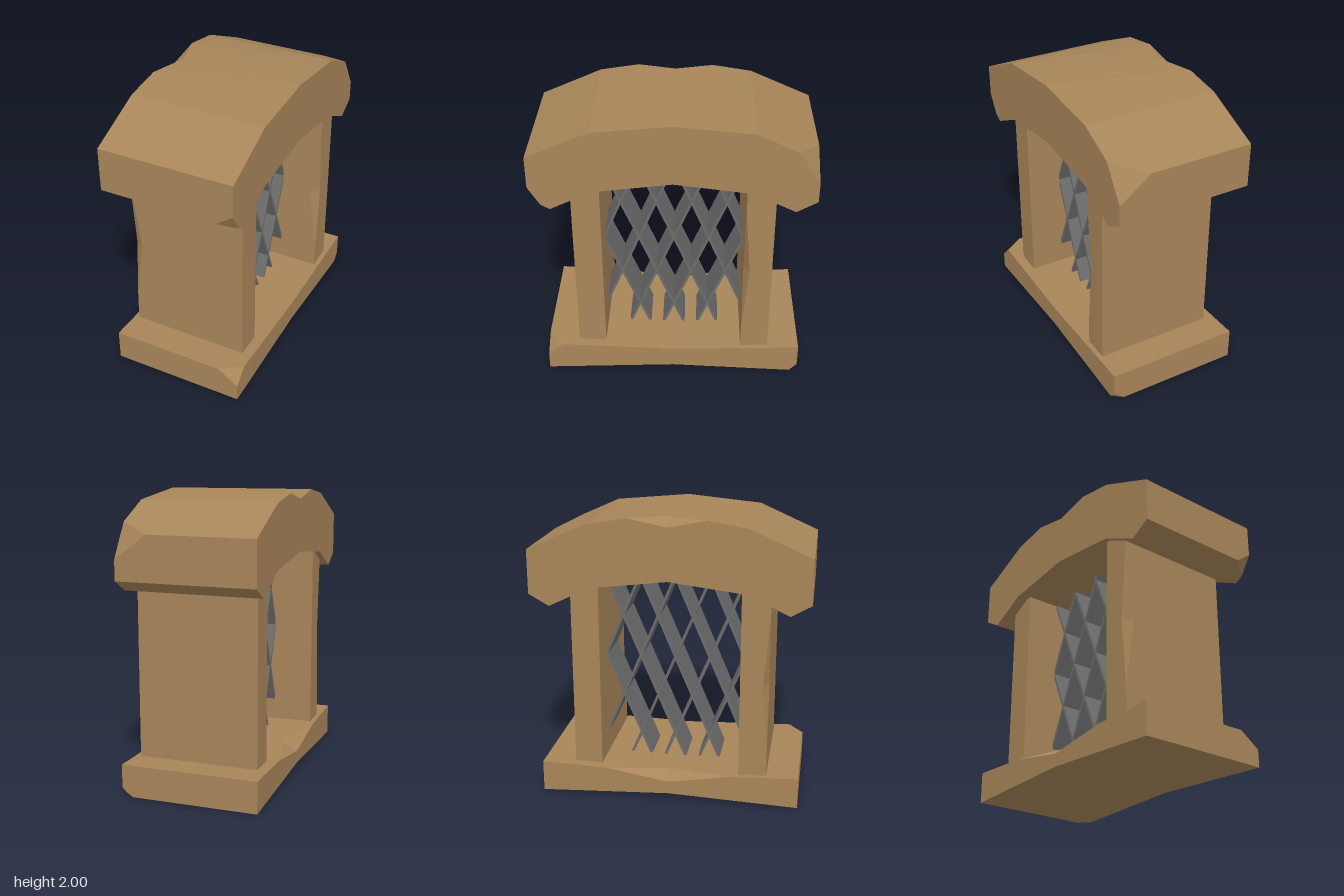
import * as THREE from 'three';
import { ConvexGeometry } from 'three/addons/geometries/ConvexGeometry.js';
import { mergeGeometries } from 'three/addons/utils/BufferGeometryUtils.js';

const stone = new THREE.MeshStandardMaterial({ color: 0xa88559 });
stone.name = 'sandstone';
const iron = new THREE.MeshStandardMaterial({ color: 0x6c6c6c });
iron.name = 'iron';

// One faceted block from its corner points
const block = (points) => new ConvexGeometry(points.map((p) => new THREE.Vector3(...p)));

// Spread [z, y] profile points across a width in x
const across = (x0, x1, profile) => profile.flatMap(([z, y]) => [[x0, y, z], [x1, y, z]]);

function stoneMesh(name, blocks) {
  const mesh = new THREE.Mesh(mergeGeometries(blocks.map(block)), stone);
  mesh.name = name;
  return mesh;
}

// Sill: two tapered halves, with chipped corners and a dented edge
function createSill() {
  const L = -0.475, R = 0.475;
  const half = (s, corners) => [
    [R, 0.19, 0], [L, 0.04, 0], [R, 0.04, 0],
    [L, 0.13, 0], [-0.38, 0.19, 0], [L, 0.205, s * 0.45],
    [L, 0, s * 0.905], [L, 0.22, s * 0.905], ...corners,
  ];
  return stoneMesh('sill', [
    half(1, [[R, 0, 0.905], [0.33, 0.22, 0.905], [R, 0.12, 0.905], [R, 0.217, 0.8]]),
    half(-1, [[R, 0.22, -0.905], [0.4, 0, -0.905], [R, 0.06, -0.905], [R, 0.003, -0.85]]),
  ]);
}

// Arched lintel: two middle blocks and two end blocks
function createLintel() {
  const L = -0.48, R = 0.47;
  const middle = (s) => [
    ...across(L, R, [[0, 1.58], [s * 0.53, 1.515], [s * 0.53, 1.95]]),
    [R, 2, 0], [-0.395, 2, 0], [L, 1.94, 0], [L, 1.992, s * 0.26],
  ];
  const end = (s, corners) => [
    ...across(L, R, [[s * 0.53, 1.515], [s * 0.53, 1.95], [s * 0.81, 1.38]]),
    [L, 1.46, s * 0.95], [L, 1.765, s * 0.95], ...corners,
  ];
  return stoneMesh('lintel', [
    middle(1), middle(-1),
    end(1, [[R, 1.765, 0.95], [0.35, 1.46, 0.95], [R, 1.545, 0.95], [R, 1.414, 0.87]]),
    end(-1, [[R, 1.46, -0.95], [0.25, 1.765, -0.95], [R, 1.6, -0.95], [R, 1.828, -0.8]]),
  ]);
}

// Pillar with one edge dented at mid-height; side picks the dented x edge
function createPillar(name, zMid, side) {
  const z0 = zMid - 0.097, z1 = zMid + 0.097;
  const worn = side * 0.44, plain = side * -0.4;
  const half = (yEnd, yDent) => [
    ...across(worn, plain, [[z0, yEnd], [z1, yEnd]]),
    [worn, yDent, z1],
    [plain, 0.87, z0], [plain, 0.87, z1], [worn, 0.87, z0],
    [worn, 0.87, z1 - 0.04], [worn - side * 0.065, 0.87, z1],
  ];
  return stoneMesh(name, [half(0.12, 0.38), half(1.54, 1.36)]);
}

// Diamond lattice of deep, thin slats crossing in both directions
function createLattice() {
  const lattice = new THREE.Group();
  lattice.name = 'lattice';
  const slope = 2.37, midY = 0.95, halfWidth = 0.495;
  for (const lean of [-1, 1]) {
    for (let k = -2; k <= 2; k++) {
      const zAt = (y) => 0.248 * k + (lean * (y - midY)) / slope;
      const yAt = (z) => midY + lean * slope * (z - 0.248 * k);
      const ends = [0.18, 1.57].map((y) => {
        const z = zAt(y);
        if (Math.abs(z) <= halfWidth) return [z, y];
        const edge = Math.sign(z) * halfWidth;
        return [edge, yAt(edge)];
      });
      const dz = ends[1][0] - ends[0][0], dy = ends[1][1] - ends[0][1];
      const slat = new THREE.Mesh(new THREE.BoxGeometry(0.31, Math.hypot(dz, dy), 0.018), iron);
      slat.name = 'slat';
      slat.position.set(0, (ends[0][1] + ends[1][1]) / 2, (ends[0][0] + ends[1][0]) / 2);
      slat.rotation.x = Math.atan2(dz, dy);
      lattice.add(slat);
    }
  }
  return lattice;
}

export function createModel() {
  const model = new THREE.Group();
  model.name = 'latticeWindow';
  model.add(
    createSill(),
    createPillar('frontPillar', 0.585, -1),
    createPillar('backPillar', -0.585, 1),
    createLintel(),
    createLattice(),
  );
  return model;
}
